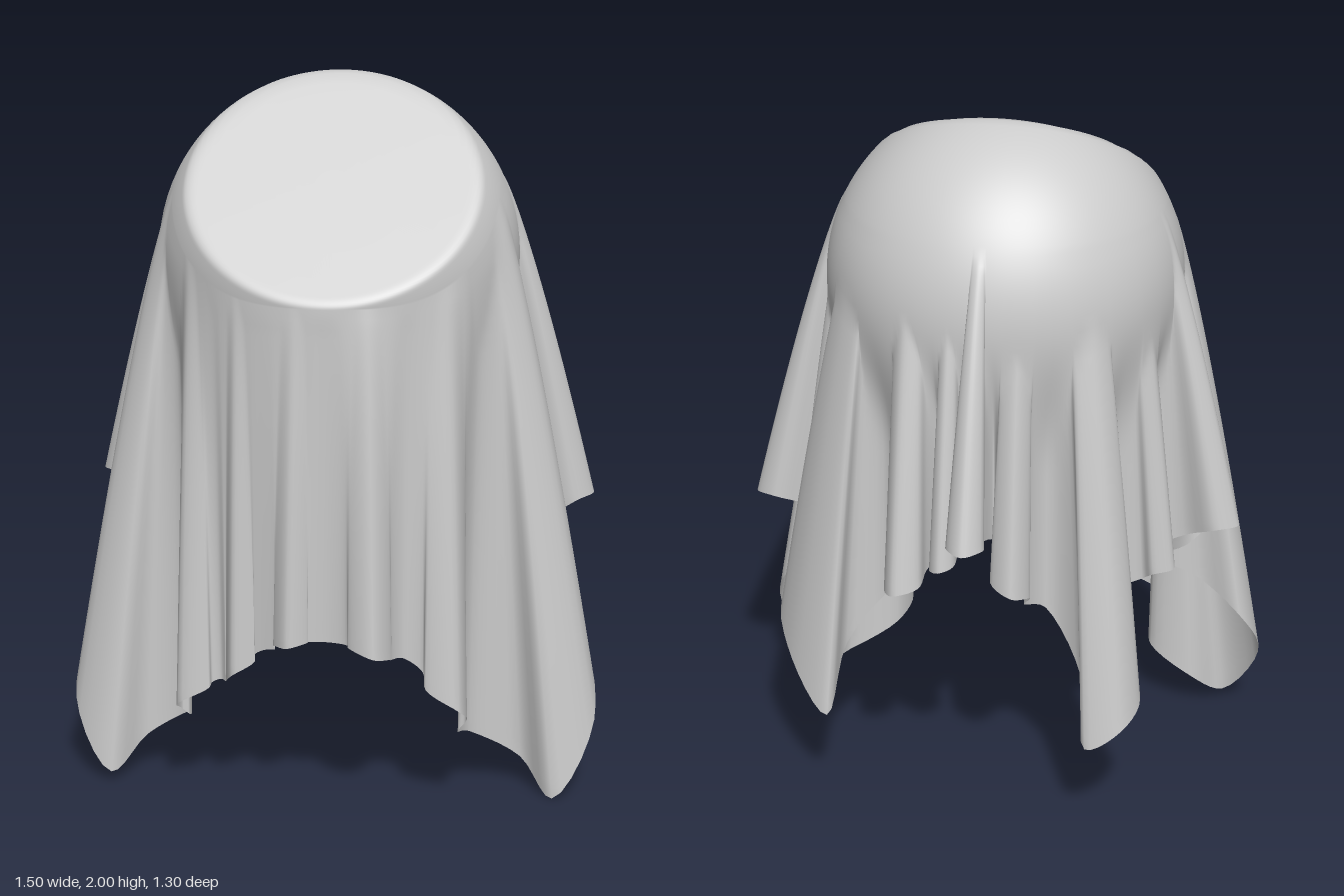
import * as THREE from 'three';

// Ball under the cloth, with a tilted flat cut facing front and up
const C = new THREE.Vector3(0, 1.507, 0.075);
const R = 0.506, CUT = 0.306;
const N = new THREE.Vector3(0, 0.749, 0.663).normalize();

// Folds around the hem, from the front towards +x:
// tip x, tip z, half width, neck half width, roundness of the tip,
// hem height before / after the tip, height of the next valley
const FOLDS = [
  [0.14, 0.65, 0.06, 0.06, 0.05, 0.52, 0.48, 0.46],
  [0.37, 0.555, 0.07, 0.06, 0.06, 0.38, 0.26, 0.18],
  [0.745, 0.305, 0.115, 0.06, 0.085, 0, 0.42, 0.60],
  [0.73, -0.01, 0.06, 0.02, 0.06, 0.78, 0.80, 0.70],
  [0.59, -0.08, 0.035, 0.025, 0.03, 0.70, 0.68, 0.64],
  [0.555, -0.335, 0.155, 0.08, 0.04, 0.53, 0.30, 0.65],
  [0.21, -0.535, 0.055, 0.04, 0.05, 0.75, 0.78, 0.82],
  [0.08, -0.535, 0.035, 0.03, 0.03, 0.84, 0.86, 0.90],
  [-0.01, -0.655, 0.052, 0.017, 0.05, 0.97, 0.97, 0.88],
  [-0.12, -0.51, 0.055, 0.04, 0.05, 0.80, 0.75, 0.66],
  [-0.43, -0.47, 0.09, 0.05, 0.05, 0.30, 0.42, 0.65],
  [-0.53, -0.17, 0.045, 0.03, 0.04, 0.72, 0.74, 0.72],
  [-0.70, -0.04, 0.055, 0.02, 0.055, 0.82, 0.82, 0.62],
  [-0.745, 0.285, 0.115, 0.06, 0.085, 0.42, 0.03, 0.20],
  [-0.42, 0.48, 0.065, 0.055, 0.06, 0.24, 0.34, 0.36],
  [-0.26, 0.54, 0.05, 0.05, 0.04, 0.36, 0.44, 0.48],
  [-0.10, 0.61, 0.05, 0.045, 0.04, 0.50, 0.52, 0.52],
];

// The cloth hangs in between the folds at this radius, looser at the front
const valleyRadius = a => 0.45 + 0.05 * Math.max(0, Math.sin(a));

// Hem: every fold is a neck opening into a rounded bulb
function hemColumns(perSegment) {
  const n = FOLDS.length;
  const angles = [];
  for (const [x, z] of FOLDS) {
    let a = Math.atan2(z - C.z, x);
    while (angles.length && a > angles[angles.length - 1]) a -= 2 * Math.PI;
    angles.push(a);
  }
  const valleyAngle = i => {
    const next = i + 1 < n ? angles[i + 1] : angles[0] - 2 * Math.PI;
    return (angles[i] + next) / 2;
  };
  const points = [], phis = [];
  let start = valleyAngle(n - 1) + 2 * Math.PI;
  FOLDS.forEach(([x, z, w, neckW, round, yBefore, yAfter, yValley], i) => {
    const a = angles[i], end = valleyAngle(i);
    const L = Math.hypot(x, z - C.z);
    const yPrev = FOLDS[(i + n - 1) % n][7];
    const put = (r, side, y) => points.push(new THREE.Vector3(
      r * Math.cos(a) + side * Math.sin(a), y, C.z + r * Math.sin(a) - side * Math.cos(a)));
    const bulb = L - round, neck = (valleyRadius(a) + bulb) / 2;
    put(neck, -neckW, (yPrev + yBefore) / 2);
    put(bulb, -w, yBefore);
    put(L, 0, (yBefore + yAfter) / 2);
    put(bulb, w, yAfter);
    put(neck, neckW, (yAfter + yValley) / 2);
    const v = valleyRadius(end);
    points.push(new THREE.Vector3(v * Math.cos(end), yValley, C.z + v * Math.sin(end)));
    for (let k = 1; k <= 6; k++) phis.push(start + (end - start) * k / 6);
    start = end;
  });
  const curve = new THREE.CatmullRomCurve3(points, true, 'centripetal');
  const total = points.length * perSegment, columns = [];
  for (let j = 0; j < total; j++) {
    const k = Math.floor(j / perSegment), f = (j % perSegment) / perSegment;
    const next = k + 1 < phis.length ? phis[k + 1] : phis[0] - 2 * Math.PI;
    columns.push({ hem: curve.getPoint(j / total), phi: phis[k] + (next - phis[k]) * f });
  }
  return columns;
}

// Point of the cut ball along a direction, with a slightly rounded lip
function ballPoint(dir) {
  const d = dir.dot(N);
  const flat = d > 0.05 ? CUT / d : 10;
  const k = 0.02, h = Math.max(k - Math.abs(R - flat), 0) / k;
  const r = Math.min(R, flat) - h * h * k / 4;
  return dir.clone().multiplyScalar(r).add(C);
}

// One line of cloth from the middle of the flat disc down to the hem
const DISC = 5, DOME = 20, SKIRT = 34, LIP = THREE.MathUtils.degToRad(46);
function clothLine({ hem, phi }) {
  const line = [];
  const rise = -0.1 + 0.6 * THREE.MathUtils.smoothstep((1 - Math.sin(phi)) / 2, 0, 0.5);
  const e = new THREE.Vector3(Math.cos(phi), rise, Math.sin(phi)).normalize();
  const alpha = N.angleTo(e);
  const side = e.clone().addScaledVector(N, -e.dot(N)).normalize();
  for (let i = 0; i <= DISC + DOME; i++) {
    const a = i <= DISC ? LIP * i / DISC : LIP + (alpha - LIP) * (i - DISC) / DOME;
    line.push(ballPoint(N.clone().multiplyScalar(Math.cos(a)).addScaledVector(side, Math.sin(a))));
  }
  const top = line[line.length - 1];
  for (let i = 1; i <= SKIRT; i++) {
    const s = i / SKIRT, k = Math.pow(s, 0.82);
    const p = new THREE.Vector3(
      top.x + (hem.x - top.x) * k, top.y + (hem.y - top.y) * s, top.z + (hem.z - top.z) * k);
    // Keep the cloth outside the ball
    const h = p.y - C.y, r = Math.hypot(p.x, p.z - C.z);
    const min = h > 0 ? Math.sqrt(R * R - h * h) : R - 0.25 * h * h;
    if (r < min && h > -0.45) {
      const f = 1 + (min / r - 1) * THREE.MathUtils.smoothstep(h, -0.45, 0);
      p.x *= f;
      p.z = C.z + (p.z - C.z) * f;
    }
    line.push(p);
  }
  return line;
}

export function createModel() {
  const lines = hemColumns(5).map(clothLine);
  const W = lines.length, rows = lines[0].length;
  const positions = [], index = [];
  // A single vertex in the middle of the disc, then rings of vertices
  positions.push(...lines[0][0].toArray());
  for (let i = 1; i < rows; i++) for (let j = 0; j < W; j++) positions.push(...lines[j][i].toArray());
  const id = (i, j) => 1 + (i - 1) * W + (j % W);
  for (let j = 0; j < W; j++) {
    index.push(0, id(1, j), id(1, j + 1));
    for (let i = 1; i < rows - 1; i++) {
      index.push(id(i, j), id(i + 1, j), id(i + 1, j + 1), id(i, j), id(i + 1, j + 1), id(i, j + 1));
    }
  }
  const geometry = new THREE.BufferGeometry();
  geometry.setAttribute('position', new THREE.Float32BufferAttribute(positions, 3));
  geometry.setIndex(index);
  geometry.computeVertexNormals();

  const cloth = new THREE.Mesh(geometry,
    new THREE.MeshStandardMaterial({ color: 0xcccccc, side: THREE.DoubleSide }));
  cloth.name = 'drapedCloth';
  const group = new THREE.Group();
  group.name = 'drapedClothModel';
  group.add(cloth);
  return group;
}
